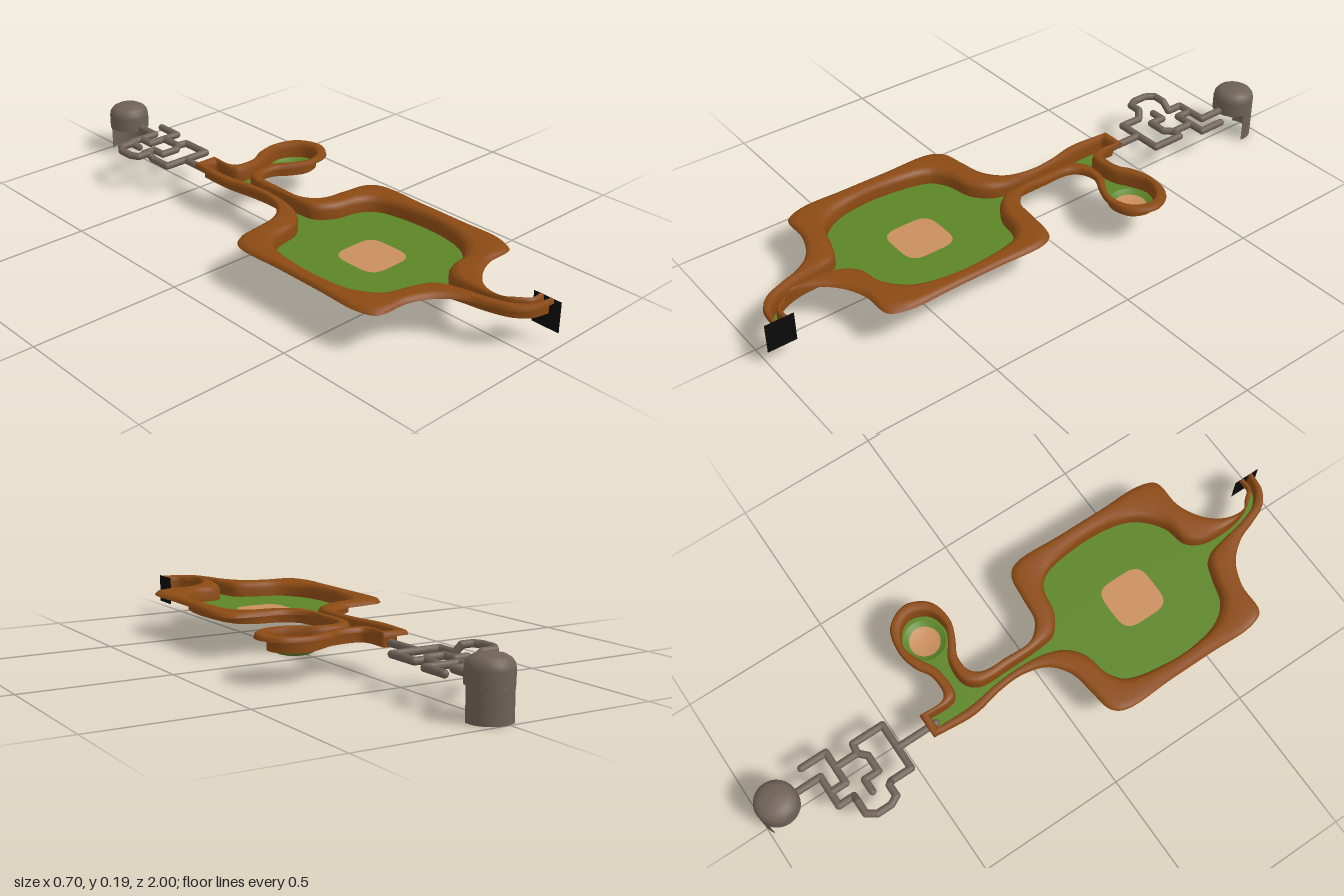
import * as THREE from 'three';

const mat = (color) => new THREE.MeshStandardMaterial({ color, side: THREE.DoubleSide });
const brown = mat(0x8b4a14), green = mat(0x5c8526), tan = mat(0xc98f5e);
const stone = mat(0x6e6157), black = mat(0x0a0a0a);

const FLOOR = 0.097;

// Bank stations from back to front: floor edge x, z, then outer lip x, z
const leftBank = [
  -.063, -.387, -.085, -.414, -.063, -.265, -.095, -.265, -.048, -.16, -.074, -.16,
  -.042, -.07, -.069, -.07, -.05, .03, -.095, .015, -.075, .095, -.16, .065,
  -.127, .138, -.245, .08, -.215, .16, -.32, .095, -.265, .2, -.35, .135,
  -.297, .345, -.35, .32, -.297, .45, -.35, .48, -.275, .545, -.35, .635,
  -.222, .615, -.325, .69, -.137, .645, -.22, .7, -.075, .675, -.14, .735,
  -.053, .745, -.085, .8, -.037, .83, -.06, .865, -.01, .905, -.03, .93,
  .03, .945, .015, .965, .085, .96, .085, .975,
];
const rightBank = [
  -.016, -.387, 0, -.414, -.016, -.308, 0, -.335, 0, -.28, .018, -.312,
  .1, -.28, .09, -.312, .16, -.31, .14, -.34, .222, -.33, .217, -.355,
  .285, -.3, .307, -.33, .305, -.255, .345, -.25, .28, -.2, .305, -.175,
  .217, -.18, .222, -.155, .165, -.2, .16, -.175, .11, -.235, .1, -.205,
  .025, -.237, .04, -.2, -.015, -.2, .012, -.165, -.02, -.08, .008, -.08,
  -.017, .025, .01, .015, -.005, .095, .06, .068, .05, .138, .145, .08,
  .137, .158, .235, .095, .185, .2, .265, .135, .212, .345, .265, .32,
  .205, .48, .265, .48, .175, .56, .265, .635, .1, .625, .24, .69,
  .02, .645, .137, .7, -.015, .69, .06, .737, -.025, .76, .005, .8,
  -.017, .845, -.005, .87, .01, .905, .025, .9, .04, .937, .045, .923,
  .085, .94, .085, .923,
];
// Bank section: fraction from floor edge to lip, height
const bankProfile = [[0, FLOOR], [0, .128], [.08, .142], [.25, .15], [.75, .15], [.93, .146], [1, .135]];

function sampleBank(data, offset) {
  const pts = [];
  for (let i = 0; i < data.length; i += 4) {
    pts.push(new THREE.Vector3(data[i + offset], 0, data[i + offset + 1]));
  }
  return new THREE.CatmullRomCurve3(pts).getPoints((pts.length - 1) * 6);
}

// Surface through equal rows of points
function loft(rows) {
  const n = rows[0].length, index = [];
  for (let i = 0; i < rows.length - 1; i++) {
    for (let j = 0; j < n - 1; j++) {
      const a = i * n + j, b = a + n;
      index.push(a, a + 1, b, b, a + 1, b + 1);
    }
  }
  const geo = new THREE.BufferGeometry().setFromPoints(rows.flat());
  geo.setIndex(index);
  geo.computeVertexNormals();
  return geo;
}

// Soft-cornered square in the ground plane
function softSquare(cx, cz, rx, rz, power) {
  const pts = [];
  for (let i = 0; i < 40; i++) {
    const a = i / 40 * Math.PI * 2, c = Math.cos(a), s = Math.sin(a);
    pts.push(new THREE.Vector2(
      cx + rx * Math.sign(c) * Math.abs(c) ** (2 / power),
      cz + rz * Math.sign(s) * Math.abs(s) ** (2 / power)));
  }
  return pts;
}

export function createModel() {
  const model = new THREE.Group();
  const add = (name, geo, material, parent = model) => {
    const mesh = new THREE.Mesh(geo, material);
    mesh.name = name;
    parent.add(mesh);
    return mesh;
  };
  const flat = (shape) => new THREE.ShapeGeometry(shape).rotateX(Math.PI / 2).translate(0, FLOOR, 0);
  const lathe = (profile) => new THREE.LatheGeometry(profile.map(([r, y]) => new THREE.Vector2(r, y)), 40);

  // Earth bank running from the front left, round the back, to the front right
  const inner = [...sampleBank(leftBank, 0).reverse(), ...sampleBank(rightBank, 0)];
  const outer = [...sampleBank(leftBank, 2).reverse(), ...sampleBank(rightBank, 2)];
  const rows = inner.map((p, i) => bankProfile.map(([t, y]) => p.clone().lerp(outer[i], t).setY(y)));
  add('earthBank', loft(rows), brown);

  // Grass floor with openings for the sand patch and the side hollow
  const patch = softSquare(-.04, .39, .086, .087, 4);
  const floor = new THREE.Shape(inner.map((p) => new THREE.Vector2(p.x, p.z)));
  floor.holes.push(new THREE.Path(patch), new THREE.Path(softSquare(.22, -.257, .07, .07, 2)));
  add('grassFloor', flat(floor), green);
  add('sandPatch', flat(new THREE.Shape(patch)), tan);

  // Sunken bowl in the side chamber
  const bowl = new THREE.Group();
  bowl.name = 'sideHollow';
  bowl.position.set(.22, 0, -.257);
  add('grassSlope', lathe([[.052, .086], [.062, .091], [.07, FLOOR]]), green, bowl);
  add('sandBowl', lathe([[0, .078], [.02, .079], [.038, .082], [.052, .086]]), tan, bowl);
  model.add(bowl);

  // Tunnel maze made of round-ended pipes; points are x, y, z
  const low = .11, high = .134;
  const tunnels = [
    [[-.04, low, -.38], [-.04, low, -.525]],
    [[.05, low, -.635], [.05, low, -.525], [-.12, low, -.525], [-.12, low, -.6], [-.135, high, -.612],
      [-.175, high, -.612], [-.19, high, -.64], [-.19, high, -.69], [-.17, high, -.72], [-.125, high, -.72],
      [-.095, low, -.72], [-.095, low, -.775], [.016, low, -.775], [.016, low, -.88]],
    [[-.045, low, -.775], [-.045, low, -.72], [.074, low, -.72], [.074, low, -.81]],
    [[-.115, low, -.665], [-.07, low, -.665], [-.07, low, -.615], [-.01, low, -.615],
      [.016, low, -.64], [.016, low, -.72]],
    [[.05, low, -.635], [.016, low, -.64]],
  ];
  const maze = new THREE.Group();
  maze.name = 'tunnelMaze';
  const up = new THREE.Vector3(0, 1, 0);
  for (const path of tunnels) {
    for (let i = 0; i < path.length - 1; i++) {
      const a = new THREE.Vector3(...path[i]), b = new THREE.Vector3(...path[i + 1]);
      const d = b.clone().sub(a);
      const pipe = add('tunnel', new THREE.CapsuleGeometry(.0125, d.length(), 6, 14), stone, maze);
      pipe.quaternion.setFromUnitVectors(up, d.normalize());
      pipe.position.copy(a).add(b).multiplyScalar(.5);
    }
  }
  model.add(maze);

  // Domed chamber with a partial curved wall below it
  const tower = new THREE.Group();
  tower.name = 'domedTower';
  tower.position.set(.015, 0, -.93);
  add('dome', lathe([[.07, .1], [.07, .145], [.067, .16], [.058, .172], [.044, .18], [.024, .185], [0, .187]]), stone, tower);
  const rad = THREE.MathUtils.degToRad;
  add('curvedWall', new THREE.CylinderGeometry(.07, .07, .1, 32, 1, true, rad(78), rad(139))
    .translate(0, .05, 0), stone, tower);
  model.add(tower);

  // Dark screen across the front mouth
  add('entranceScreen', new THREE.PlaneGeometry(.096, .1).rotateY(Math.PI / 2).translate(.085, .099, .952), black);

  return model;
}
